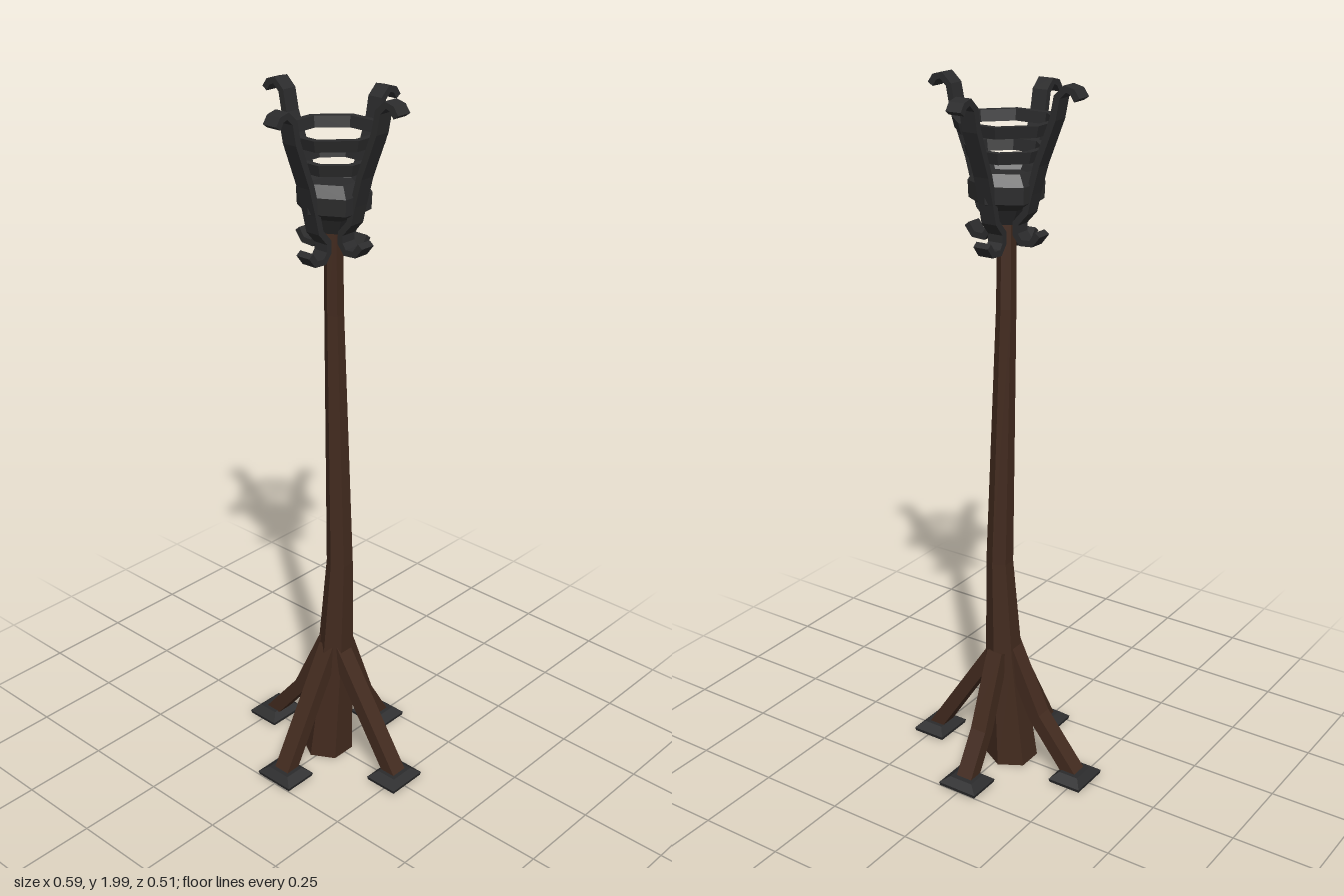
import * as THREE from 'three';

const iron = new THREE.MeshStandardMaterial({ color: 0x2b2b2c });
iron.name = 'dark iron';
const wood = new THREE.MeshStandardMaterial({ color: 0x422a1e });
wood.name = 'brown wood';

// Faceted normals for low-poly parts
function facet(geometry) {
  const flat = geometry.toNonIndexed();
  flat.computeVertexNormals();
  return flat;
}

function add(parent, name, geometry, material) {
  const mesh = new THREE.Mesh(geometry, material);
  mesh.name = name;
  parent.add(mesh);
  return mesh;
}

// Flat bar of given thickness and width following a path in the x-y plane
function bar(points, thickness, width) {
  const p = points.map(([x, y]) => new THREE.Vector2(x, y));
  const sideA = [], sideB = [];
  p.forEach((point, i) => {
    const before = p[Math.max(i - 1, 0)], after = p[Math.min(i + 1, p.length - 1)];
    const dir = after.clone().sub(before).normalize();
    const off = new THREE.Vector2(-dir.y, dir.x).multiplyScalar(thickness / 2);
    sideA.push(point.clone().add(off));
    sideB.unshift(point.clone().sub(off));
  });
  const shape = new THREE.Shape([...sideA, ...sideB]);
  const geometry = new THREE.ExtrudeGeometry(shape, { depth: width, bevelEnabled: false });
  return geometry.translate(0, 0, -width / 2);
}

function lathe(points, sides, start) {
  const profile = points.map(([r, y]) => new THREE.Vector2(r, y));
  return facet(new THREE.LatheGeometry(profile, sides, start));
}

// Slightly crooked hexagonal post; each section is [x, y, z, radius]
function postGeometry() {
  const sections = [
    [-0.015, 0.005, 0.005, 0.075],
    [0.002, 0.35, -0.012, 0.052],
    [0.012, 0.65, -0.018, 0.038],
    [-0.01, 1.4, -0.018, 0.027],
    [-0.01, 1.68, -0.014, 0.025],
  ];
  const n = sections.length - 1;
  const geometry = new THREE.CylinderGeometry(1, 1, 1, 6, n);
  const pos = geometry.attributes.position;
  for (let i = 0; i < pos.count; i++) {
    const [x, y, z, r] = sections[Math.round((pos.getY(i) + 0.5) * n)];
    pos.setXYZ(i, x + pos.getX(i) * r, y, z + pos.getZ(i) * r);
  }
  return facet(geometry);
}

export function createModel() {
  const model = new THREE.Group();
  model.name = 'standingBrazier';
  add(model, 'post', postGeometry(), wood);

  // Four braces, two straight and two bent, each on a bevelled iron foot
  const footProfile = [[0, 0.01], [0.68, 0.01], [0.707, 0.02], [0.42, 0.038], [0, 0.038]];
  const braces = [
    { angle: 0, foot: 0.242, path: [[0.02, 0.37], [0.245, 0.025]] },
    { angle: Math.PI, foot: 0.242, path: [[0.015, 0.39], [0.115, 0.18], [0.24, 0.025]] },
    { angle: -Math.PI / 2, foot: 0.203, path: [[0.01, 0.37], [0.205, 0.025]] },
    { angle: Math.PI / 2, foot: 0.206, path: [[0.045, 0.37], [0.13, 0.15], [0.205, 0.025]] },
  ];
  for (const { angle, foot, path } of braces) {
    const leg = new THREE.Group();
    leg.name = 'leg';
    leg.rotation.y = angle;
    if (Math.abs(Math.sin(angle)) < 0.5) leg.position.z = -0.005;
    add(leg, 'brace', bar(path, 0.04, 0.05), wood);
    const pad = add(leg, 'footPad', lathe(footProfile, 4, Math.PI / 4), iron);
    pad.scale.set(0.102, 1, 0.124);
    pad.position.x = foot;
    model.add(leg);
  }

  // Fire basket
  const basket = new THREE.Group();
  basket.name = 'fireBasket';
  basket.position.set(-0.01, 0, -0.017);
  model.add(basket);

  // Curled arms; the front and back pair sits a little lower
  const armPath = [
    [0.221, 1.962], [0.208, 1.981], [0.187, 1.987], [0.163, 1.965], [0.152, 1.91],
    [0.105, 1.79], [0.084, 1.715], [0.072, 1.665], [0.042, 1.632], [0.042, 1.605],
    [0.058, 1.584], [0.09, 1.586], [0.11, 1.612],
  ];
  for (let i = 0; i < 4; i++) {
    const arm = add(basket, 'curledArm', bar(armPath, 0.018, 0.045), iron);
    arm.rotation.y = i * Math.PI / 2;
    arm.position.y = i % 2 ? -0.02 : 0.004;
  }

  // Octagonal hoops: [flat-to-centre distance, height of the middle]
  for (const [apothem, y] of [[0.132, 1.885], [0.103, 1.815]]) {
    const outer = apothem / Math.cos(Math.PI / 8), inner = outer - 0.02, h = 0.015;
    const profile = [
      [inner - 0.005, y - h], [outer - 0.008, y - h], [outer, y + h], [inner, y + h], [inner - 0.005, y - h],
    ];
    add(basket, 'hoop', lathe(profile, 8, Math.PI / 8), iron);
  }

  // Hexagonal bowl with a filled top
  const bowlProfile = [
    [0, 1.625], [0.035, 1.63], [0.06, 1.672], [0.098, 1.695], [0.1, 1.74],
    [0.078, 1.77], [0.066, 1.755], [0, 1.755],
  ];
  add(basket, 'bowl', lathe(bowlProfile, 6, 0), iron);

  return model;
}
